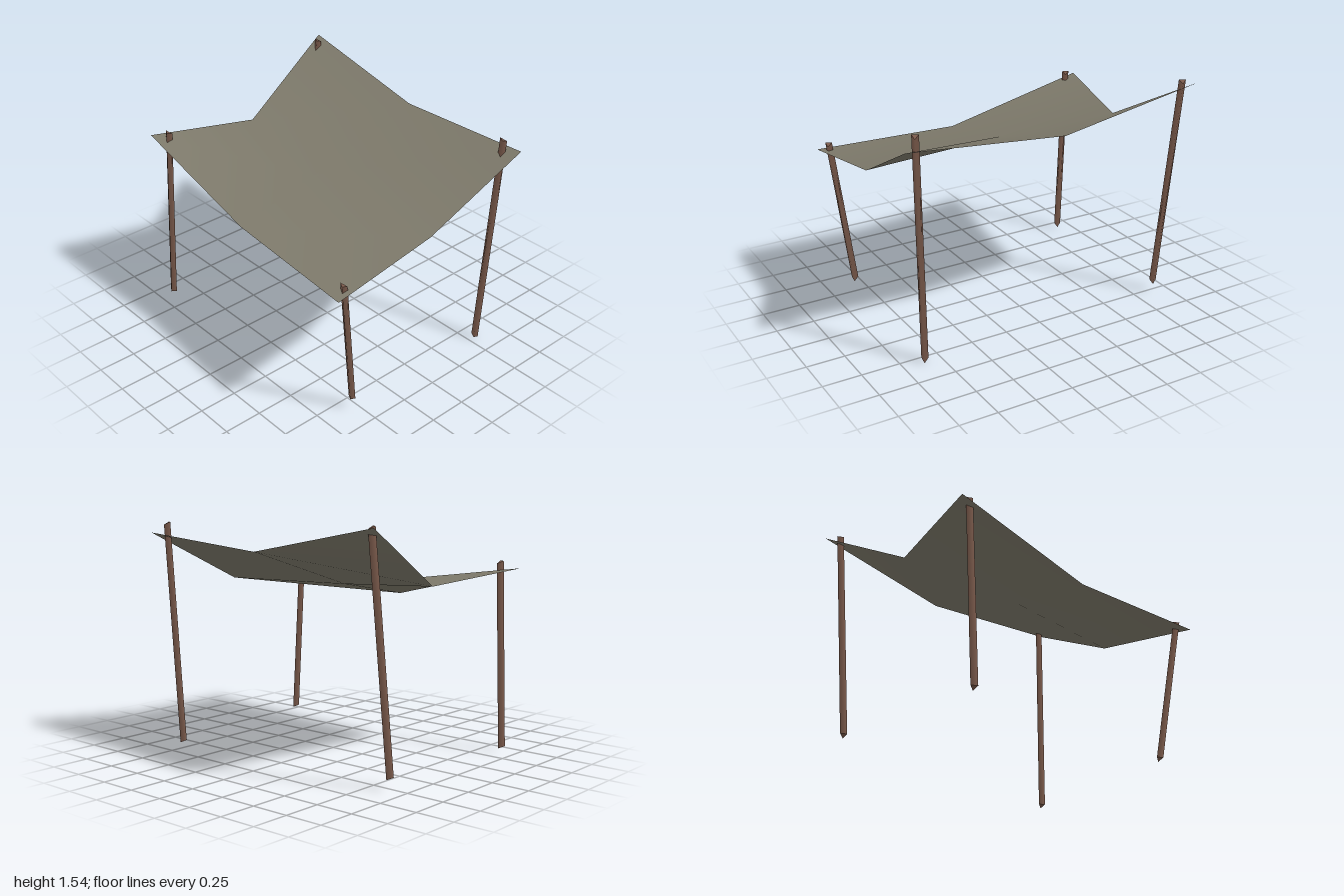
import * as THREE from 'three';

const RADIUS = 0.025;

// Three-sided pole from foot to top, with obliquely cut ends
function pole(name, foot, top, material) {
  const geometry = new THREE.CylinderGeometry(RADIUS, RADIUS, 1, 3, 1, false, -Math.PI / 2);
  const a = new THREE.Vector3(...foot);
  const b = new THREE.Vector3(...top);
  const p = geometry.attributes.position;
  const v = new THREE.Vector3();
  for (let i = 0; i < p.count; i++) {
    const x = p.getX(i), z = p.getZ(i);
    v.lerpVectors(a, b, p.getY(i) + 0.5);
    p.setXYZ(i, v.x + x, v.y - 0.25 * x + 0.4 * z, v.z + z);
  }
  const mesh = new THREE.Mesh(geometry, material);
  mesh.name = name;
  return mesh;
}

// Sagging cloth: a 2 x 2 grid of panels, rows from back to front
function canopy(material) {
  const points = [
    [-0.96, 1.535, -0.77], [-0.01, 1.35, -0.735], [1.0, 1.415, -0.67],
    [-0.84, 1.145, -0.06], [-0.05, 1.09, 0.06], [0.935, 1.065, 0.02],
    [-1.0, 1.21, 0.66], [-0.02, 0.97, 0.69], [0.955, 0.96, 0.765],
  ];
  const geometry = new THREE.PlaneGeometry(2, 2, 2, 2);
  points.forEach((q, i) => geometry.attributes.position.setXYZ(i, ...q));
  geometry.computeVertexNormals();
  const mesh = new THREE.Mesh(geometry, material);
  mesh.name = 'canopy';
  return mesh;
}

export function createModel() {
  const cloth = new THREE.MeshStandardMaterial({ color: 0x7f7b6c, side: THREE.DoubleSide });
  cloth.name = 'grey canvas';
  const wood = new THREE.MeshStandardMaterial({ color: 0x7d5c4d });
  wood.name = 'brown wood';

  const group = new THREE.Group();
  group.name = 'shelter';
  group.add(
    canopy(cloth),
    pole('frontRightPole', [-0.89, 0.03, 0.66], [-0.89, 1.25, 0.595], wood),
    pole('frontLeftPole', [0.83, 0.075, 0.54], [0.905, 1.015, 0.685], wood),
    pole('backLeftPole', [0.855, 0.012, -0.55], [0.905, 1.48, -0.61], wood),
    pole('backRightPole', [-0.89, 0.075, -0.52], [-0.89, 1.535, -0.7], wood),
  );
  return group;
}
